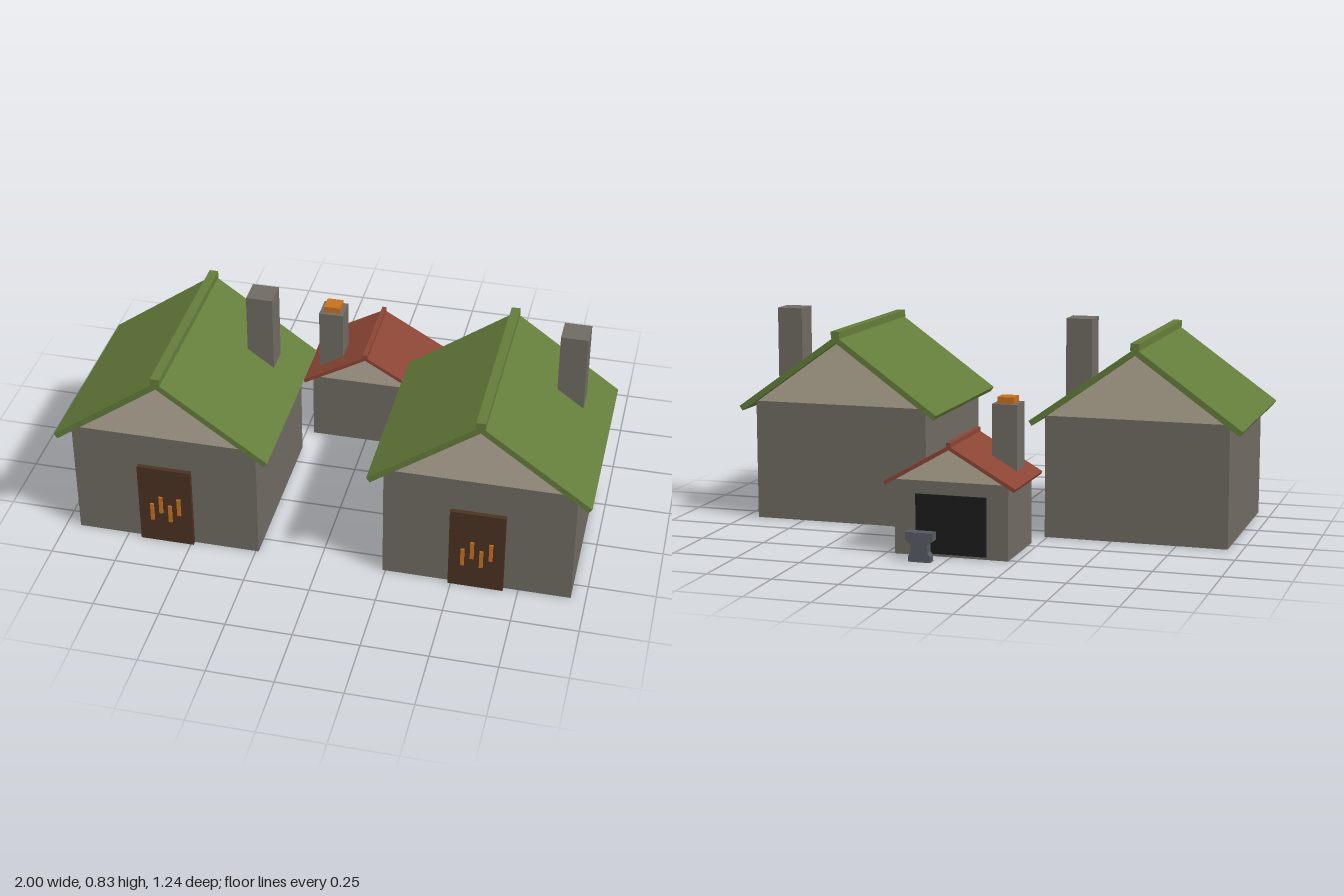
import * as THREE from 'three';

const material = (name, color) => {
  const m = new THREE.MeshStandardMaterial({ color });
  m.name = name;
  return m;
};

export function createModel() {
  const stone = material('stone', 0x6f6a62);
  const plaster = material('plaster', 0xb5ab97);
  const green = material('greenRoof', 0x647c3a);
  const red = material('redRoof', 0x8a4434);
  const wood = material('wood', 0x4c3222);
  const orange = material('emberOrange', 0xc4701f);
  const dark = material('darkOpening', 0x1c1c1c);
  const iron = material('iron', 0x565a62);

  const add = (parent, name, geometry, mat) => {
    const mesh = new THREE.Mesh(geometry, mat);
    mesh.name = name;
    parent.add(mesh);
    return mesh;
  };

  // Box given by its lower and upper limits on each axis
  const box = (parent, name, mat, [x0, x1], [y0, y1], [z0, z1]) =>
    add(parent, name, new THREE.BoxGeometry(x1 - x0, y1 - y0, z1 - z0), mat)
      .position.set((x0 + x1) / 2, (y0 + y1) / 2, (z0 + z1) / 2);

  // Outline in x and y, extruded between two z limits
  const slab = (parent, name, mat, points, [z0, z1]) => {
    const shape = new THREE.Shape(points.map(([x, y]) => new THREE.Vector2(x, y)));
    const geometry = new THREE.ExtrudeGeometry(shape, { depth: z1 - z0, bevelEnabled: false });
    add(parent, name, geometry, mat).position.z = z0;
  };

  // Walls, gable, pitched roof and ridge beam
  const shell = (parent, roofMat, h) => {
    box(parent, 'walls', stone, [-h.half, h.half], [0, h.wallTop], h.wallZ);
    slab(parent, 'gable', plaster,
      [[-h.half, h.wallTop], [h.half, h.wallTop], [0, h.innerApex]], h.wallZ);
    const [ox, oy] = h.outerEave, [ix, iy] = h.innerEave;
    slab(parent, 'roof', roofMat,
      [[ox, oy], [0, h.apex], [-ox, oy], [-ix, iy], [0, h.innerApex], [ix, iy]], h.roofZ);
    box(parent, 'ridge', roofMat, [-h.ridge, h.ridge], h.ridgeY,
      [h.roofZ[0] - 0.003, h.roofZ[1] + 0.003]);
  };

  const model = new THREE.Group();
  model.name = 'village';

  // Two large houses
  for (const side of [-1, 1]) {
    const house = new THREE.Group();
    house.name = side < 0 ? 'rightHouse' : 'leftHouse';
    house.position.x = side * 0.592;
    shell(house, green, {
      half: 0.353, wallTop: 0.47, wallZ: [-0.097, 0.577],
      apex: 0.745, innerApex: 0.718, outerEave: [0.408, 0.453], innerEave: [0.395, 0.435],
      roofZ: [-0.137, 0.617], ridge: 0.017, ridgeY: [0.735, 0.763],
    });
    box(house, 'chimney', stone, [0.203, 0.304], [0.5, 0.828], [0.02, 0.121]);
    box(house, 'door', wood, [-0.103, 0.103], [0, 0.337], [0.57, 0.595]);
    // Staggered bars on the door
    for (let i = 0; i < 4; i++) {
      const x = -0.051 + i * 0.035, y = i % 2 ? 0.136 : 0.1;
      box(house, 'doorBar', orange, [x - 0.007, x + 0.007], [y, y + 0.074], [0.594, 0.602]);
    }
    model.add(house);
  }

  // Small forge between them
  const forge = new THREE.Group();
  forge.name = 'forge';
  shell(forge, red, {
    half: 0.218, wallTop: 0.28, wallZ: [-0.512, -0.206],
    apex: 0.418, innerApex: 0.403, outerEave: [0.253, 0.273], innerEave: [0.246, 0.261],
    roofZ: [-0.538, -0.181], ridge: 0.009, ridgeY: [0.412, 0.43],
  });
  box(forge, 'forgeChimney', stone, [-0.203, -0.107], [0.27, 0.549], [-0.351, -0.255]);
  box(forge, 'embers', orange, [-0.187, -0.123], [0.545, 0.573], [-0.335, -0.271]);
  box(forge, 'forgeOpening', dark, [-0.135, 0.135], [0.01, 0.231], [-0.519, -0.51]);
  model.add(forge);

  // Anvil behind the forge: broad top, narrow waist, wider foot
  const anvil = [[-0.042, 0], [0.042, 0], [0.042, 0.022], [0.032, 0.036], [0.032, 0.066],
    [0.053, 0.08], [0.053, 0.11], [-0.053, 0.11], [-0.053, 0.08], [-0.032, 0.066],
    [-0.032, 0.036], [-0.042, 0.022]].map(([x, y]) => [x + 0.087, y]);
  slab(model, 'anvil', iron, anvil, [-0.619, -0.582]);

  return model;
}
